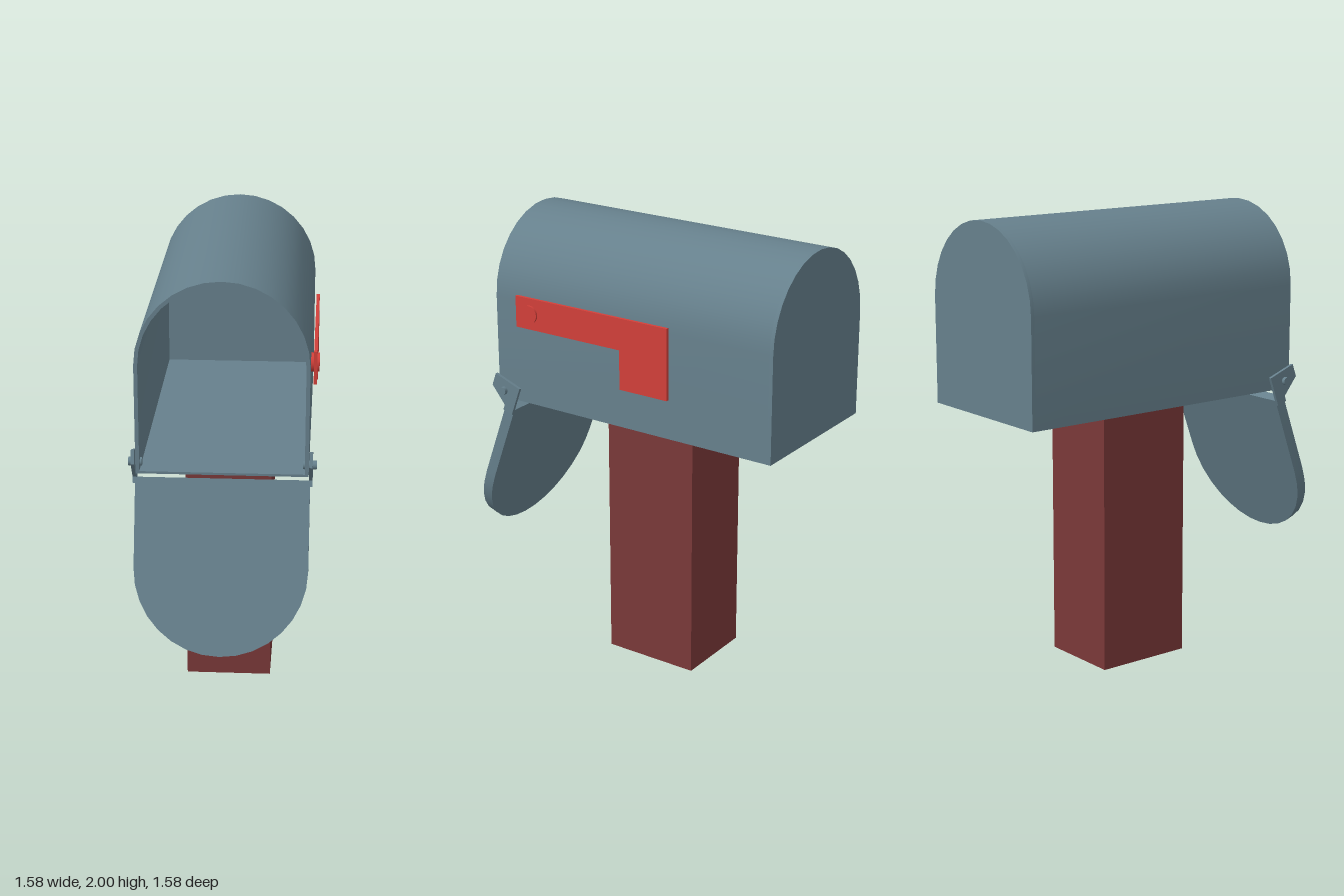
import * as THREE from 'three';
import { toCreasedNormals } from 'three/addons/utils/BufferGeometryUtils.js';

const material = (name, color) => {
  const m = new THREE.MeshStandardMaterial({ color });
  m.name = name;
  return m;
};

// Arch outline: flat base at y0, straight sides, semicircle of radius r centred at yc
function arch(Kind, r, y0, yc) {
  const s = new Kind();
  s.moveTo(-r, y0);
  s.lineTo(r, y0);
  s.lineTo(r, yc);
  s.absarc(0, yc, r, 0, Math.PI, false);
  s.closePath();
  return s;
}

function extrude(shape, depth) {
  const g = new THREE.ExtrudeGeometry(shape, { depth, bevelEnabled: false, curveSegments: 8 });
  return toCreasedNormals(g, 0.5);
}

// Flat plate outlined in (z, y), spanning x0..x1
function sidePlate(points, x0, x1) {
  const shape = new THREE.Shape(points.map(([z, y]) => new THREE.Vector2(z, y)));
  return extrude(shape, x1 - x0).rotateY(-Math.PI / 2).translate(x1, 0, 0);
}

export function createModel() {
  const steel = material('blue grey steel', 0x66808c);
  const red = material('flag red', 0xd2403a);
  const wood = material('red brown wood', 0x7a3838);

  const model = new THREE.Group();
  model.name = 'mailbox';
  model.rotation.y = -Math.PI / 4;

  const add = (name, geometry, mat, parent = model) => {
    const mesh = new THREE.Mesh(geometry, mat);
    mesh.name = name;
    parent.add(mesh);
    return mesh;
  };

  // Post
  add('post', new THREE.BoxGeometry(0.376, 1.18, 0.443).translate(0, 0.59, -0.053), wood);

  // Hollow arched body, open at the front
  const R = 0.354, base = 1.18, spring = 2 - R;
  const shell = arch(THREE.Shape, R, base, spring);
  shell.holes.push(arch(THREE.Path, R - 0.016, base + 0.01, spring));
  add('bodyShell', extrude(shell, 1.391).translate(0, 0, -0.748), steel);
  add('backPanel', extrude(arch(THREE.Shape, R, base, spring), 0.016).translate(0, 0, -0.764), steel);

  // Signal flag with its pivot
  const flag = [[0.516, 1.535], [0.516, 1.675], [-0.272, 1.675], [-0.272, 1.36], [-0.032, 1.36], [-0.032, 1.535]];
  add('flag', sidePlate(flag, 0.366, 0.38), red);
  const pivot = new THREE.CylinderGeometry(0.039, 0.039, 0.036, 20).rotateZ(Math.PI / 2);
  add('flagPivot', pivot.translate(0.371, 1.605, 0.438), red);

  // Open door, hanging from its hinge and leaning outward
  const door = new THREE.Group();
  door.name = 'door';
  door.position.set(0, 1.24, 0.52);
  door.rotation.x = -THREE.MathUtils.degToRad(20);
  model.add(door);
  add('doorPanel', extrude(arch(THREE.Shape, 0.36, 0.117, 0.491), 0.05).rotateZ(Math.PI), steel, door);

  // Hinge brackets and pins on both sides
  const bracket = [[0, 0], [0.14, 0], [0.14, -0.06], [0.05, -0.115], [0.05, -0.14], [0, -0.14]];
  for (const side of [1, -1]) {
    const label = side > 0 ? 'left' : 'right';
    const [x0, x1] = side > 0 ? [0.356, 0.37] : [-0.37, -0.356];
    add(label + 'Bracket', sidePlate(bracket, x0, x1), steel, door);
    const pin = new THREE.CylinderGeometry(0.018, 0.018, 0.056, 16).rotateZ(Math.PI / 2);
    add(label + 'HingePin', pin.translate(side * 0.358, 1.218, 0.605), steel);
  }

  const group = new THREE.Group();
  group.add(model);
  return group;
}
